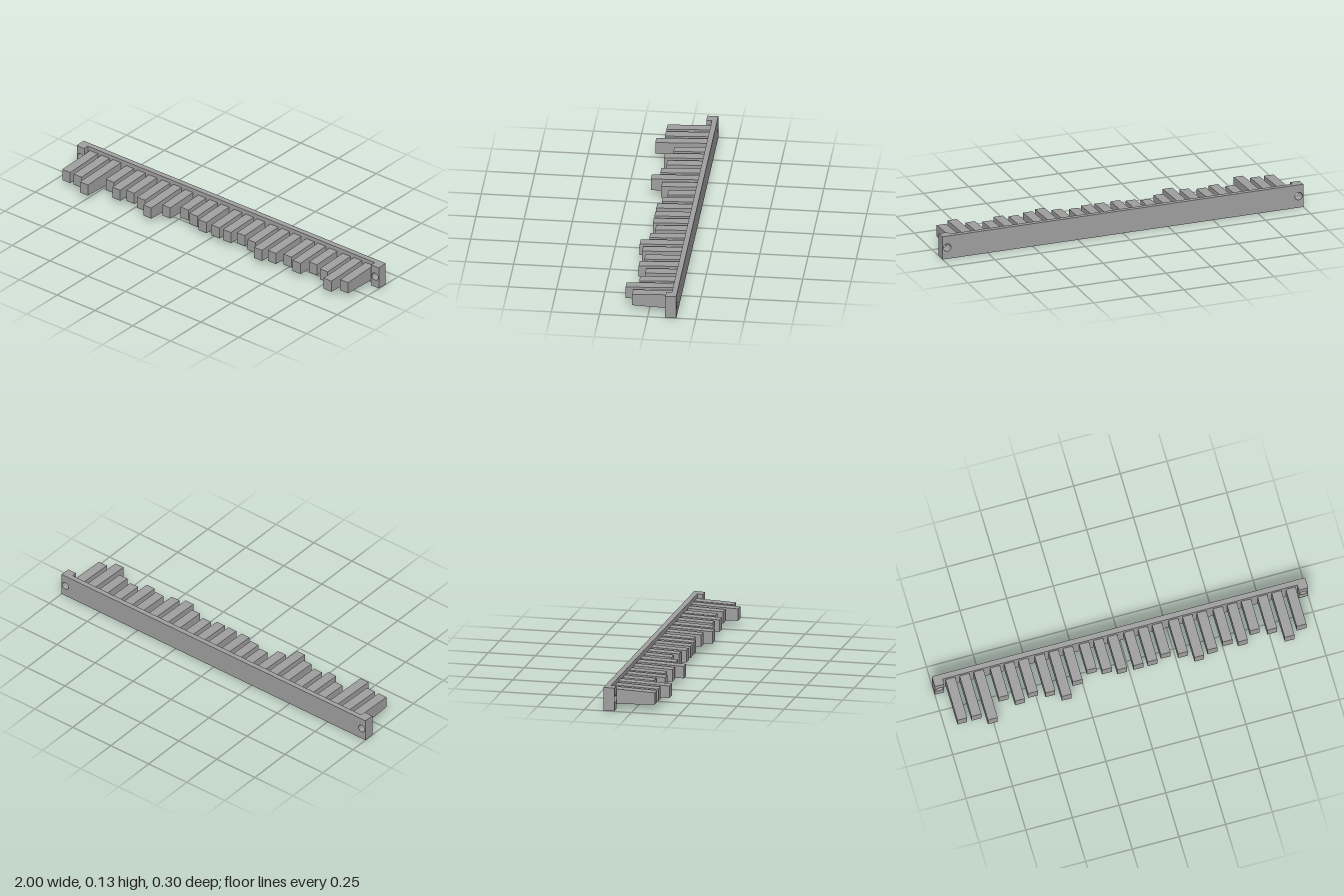
import * as THREE from 'three';

const BACK = -0.148, PLATE_FRONT = -0.12, LUG_FRONT = -0.091;
const MID_Y = 0.063, DRAFT = 0.04;

export function createModel() {
  const group = new THREE.Group();
  const grey = new THREE.MeshStandardMaterial({ color: 0xa0a0a0 });
  grey.name = 'plain grey';

  const add = (geometry, name) => {
    const mesh = new THREE.Mesh(geometry, grey);
    mesh.name = name;
    group.add(mesh);
  };

  // Slab with screw holes, its top and bottom narrowing towards the front
  const slab = (x0, x1, z0, z1, holes) => {
    const h = MID_Y;
    const shape = new THREE.Shape([[x0, -h], [x1, -h], [x1, h], [x0, h]].map(([x, y]) => new THREE.Vector2(x, y)));
    for (const x of holes) shape.holes.push(new THREE.Path().absarc(x, 0, 0.021, 0, Math.PI * 2, true));
    const g = new THREE.ExtrudeGeometry(shape, { depth: z1 - z0, bevelEnabled: false, curveSegments: 8 });
    g.translate(0, 0, z0);
    const p = g.attributes.position;
    for (let i = 0; i < p.count; i++) {
      const y = p.getY(i);
      if (Math.abs(y) > 0.05) p.setY(i, y - Math.sign(y) * DRAFT * (p.getZ(i) - BACK));
    }
    g.translate(0, MID_Y, 0);
    g.computeVertexNormals();
    return g;
  };

  // Back plate and the raised lug at each end
  add(slab(-1, 1, BACK, PLATE_FRONT, [-0.975, 0.975]), 'backPlate');
  add(slab(-1, -0.95, PLATE_FRONT, LUG_FRONT, [-0.975]), 'rightLug');
  add(slab(0.95, 1, PLATE_FRONT, LUG_FRONT, [0.975]), 'leftLug');

  // Teeth in groups of three; each number counts steps back from the longest
  const steps = [2, 2, 0, 5, 3, 4, 3, 1, 4, 6, 5, 4, 4, 4, 5, 4, 2, 3, 4, 3, 5, 4, 1, 3];
  steps.forEach((step, i) => {
    const tip = 0.15 - step * 0.0208;
    const length = tip - PLATE_FRONT;
    const g = new THREE.BoxGeometry(0.052, 0.063, length);
    const p = g.attributes.position;
    // The root is taller than the tip
    for (let k = 0; k < p.count; k++) {
      if (p.getZ(k) < 0) p.setY(k, p.getY(k) + Math.sign(p.getY(k)) * DRAFT * length);
    }
    const x = -0.909 + Math.floor(i / 3) * 0.2388 + (i % 3) * 0.0758;
    g.translate(x, MID_Y + 0.0005, PLATE_FRONT + length / 2);
    g.computeVertexNormals();
    add(g, 'tooth' + (i + 1));
  });

  return group;
}
